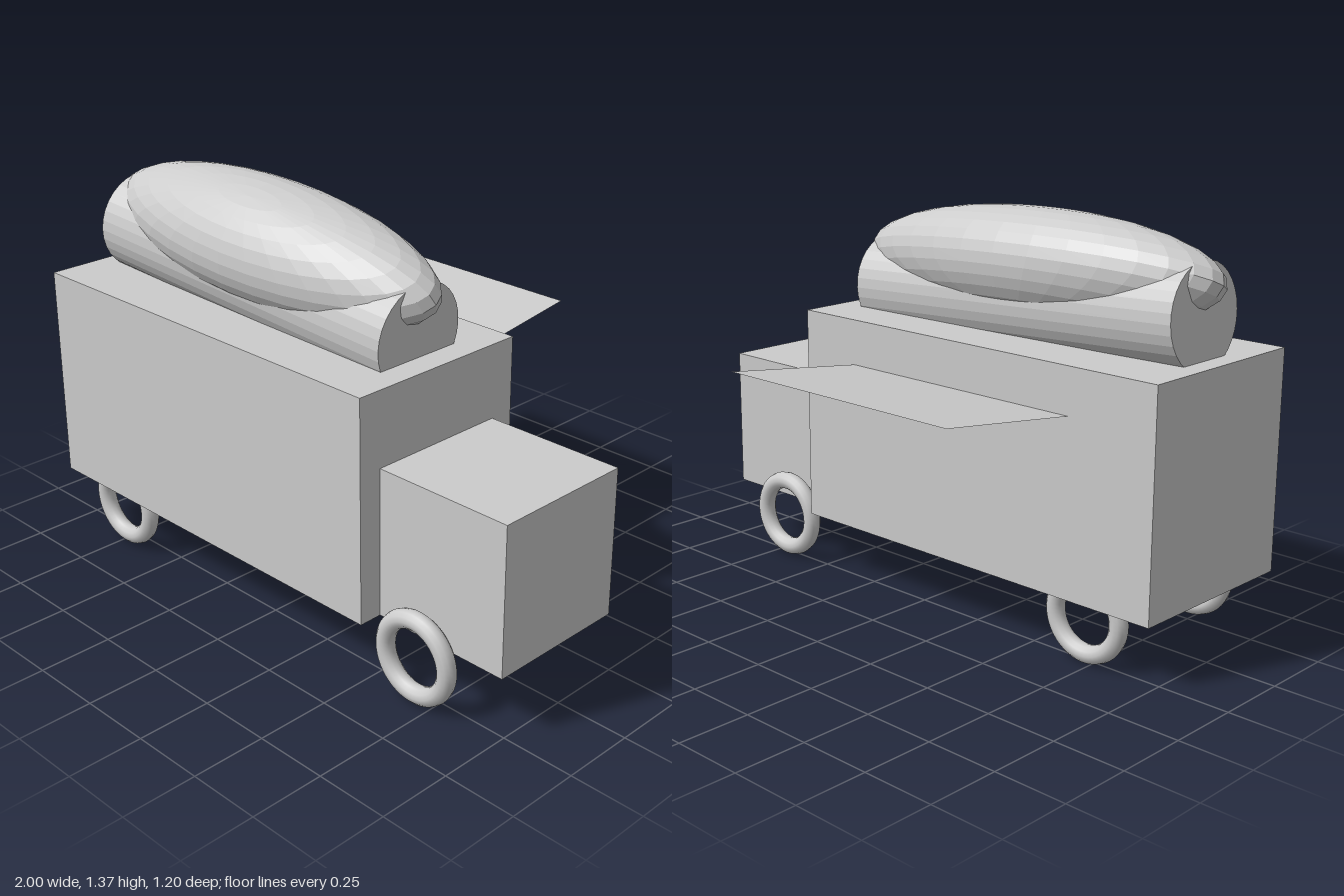
import * as THREE from 'three';

export function createModel() {
  const group = new THREE.Group();
  const solid = new THREE.MeshStandardMaterial({ color: 0xcccccc });
  const faceted = new THREE.MeshStandardMaterial({ color: 0xcccccc, flatShading: true });
  const sheet = new THREE.MeshStandardMaterial({ color: 0xcccccc, side: THREE.DoubleSide });

  const add = (name, geometry, material, x, y, z) => {
    const mesh = new THREE.Mesh(geometry, material);
    mesh.name = name;
    mesh.position.set(x, y, z);
    group.add(mesh);
    return mesh;
  };
  // Box given by its lower and upper limits on each axis
  const addBox = (name, [x0, x1], [y0, y1], [z0, z1]) =>
    add(name, new THREE.BoxGeometry(x1 - x0, y1 - y0, z1 - z0), solid,
      (x0 + x1) / 2, (y0 + y1) / 2, (z0 + z1) / 2);

  // Truck body and cab
  addBox('body', [-1, 0.508], [0.215, 0.967], [-0.067, 0.6]);
  addBox('cab', [0.508, 1], [0.215, 0.715], [0.02, 0.518]);

  // Ring wheels; the rear pair is partly sunk into the body
  const wheel = new THREE.TorusGeometry(0.126, 0.031, 12, 48);
  for (const [end, x] of [['rear', -0.725], ['front', 0.69]]) {
    for (const [side, z] of [['Near', 0.55], ['Far', -0.015]]) {
      add(end + side + 'Wheel', wheel, solid, x, 0.161, z);
    }
  }

  // Serving hatch panel and its raised awning on the far side
  const hatch = add('hatchPanel', new THREE.PlaneGeometry(0.945, 0.36), sheet, -0.2, 0.63, -0.069);
  hatch.rotation.y = Math.PI;
  const rise = 0.07, depth = 0.535;
  const awning = add('awning', new THREE.PlaneGeometry(0.945, Math.hypot(rise, depth)), sheet,
    -0.2, 0.845, -0.067 - depth / 2);
  awning.rotation.x = -Math.PI / 2 + Math.atan2(rise, depth);

  // Roof bun: a cylinder lying along the roof, dipping towards the cab
  const bunShape = new THREE.CylinderGeometry(0.174, 0.174, 1.345, 32);
  bunShape.rotateZ(Math.PI / 2);
  const bun = add('bun', bunShape, faceted, -0.25, 1.07, 0.266);
  bun.rotation.z = -0.05;

  // Sausage: a stretched sphere, rolled about its length
  const sausage = add('sausage', new THREE.SphereGeometry(1, 32, 16), faceted, -0.247, 1.181, 0.267);
  sausage.scale.set(0.738, 0.188, 0.221);
  sausage.rotation.set(0.46, 0, -0.035, 'ZXY');

  return group;
}
